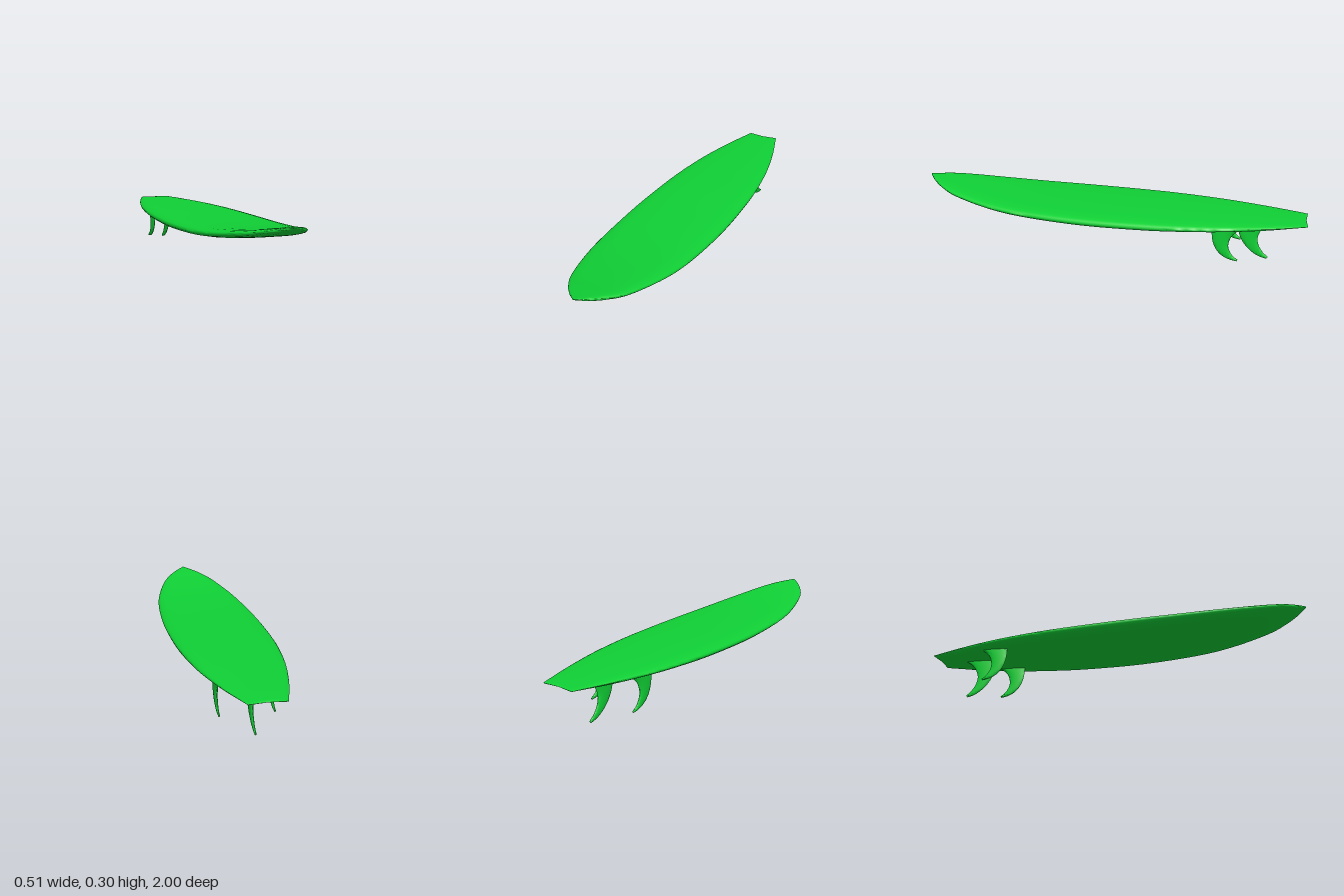
import * as THREE from 'three';
import { toCreasedNormals } from 'three/addons/utils/BufferGeometryUtils.js';

const material = new THREE.MeshStandardMaterial({ color: 0x10d035 });

// Skin a list of closed rings and cap both ends
function loft(rings) {
  const n = rings[0].length;
  const pos = rings.flat().flatMap((p) => [p.x, p.y, p.z]);
  const index = [];
  for (let i = 0; i < rings.length - 1; i++) {
    for (let j = 0; j < n; j++) {
      const a = i * n + j, b = i * n + ((j + 1) % n);
      index.push(a, b, b + n, a, b + n, a + n);
    }
  }
  [0, rings.length - 1].forEach((r) => {
    const mid = new THREE.Vector3();
    rings[r].forEach((p) => mid.addScaledVector(p, 1 / n));
    const c = pos.length / 3;
    pos.push(mid.x, mid.y, mid.z);
    for (let j = 0; j < n; j++) {
      const a = r * n + j, b = r * n + ((j + 1) % n);
      index.push(c, r ? a : b, r ? b : a);
    }
  });
  const geo = new THREE.BufferGeometry();
  geo.setAttribute('position', new THREE.Float32BufferAttribute(pos, 3));
  geo.setIndex(index);
  return toCreasedNormals(geo, 1.2);
}

const spline = (pts) =>
  new THREE.CatmullRomCurve3(pts.map((p) => new THREE.Vector3(...p)), false, 'catmullrom', 0.5);

// Board stations from tail to nose: z, half width, bottom height, deck height
const stations = [
  [-1, 0.085, 0.229, 0.238], [-0.95, 0.101, 0.224, 0.24], [-0.8, 0.148, 0.211, 0.241],
  [-0.6, 0.197, 0.199, 0.242], [-0.4, 0.229, 0.19, 0.242], [-0.2, 0.247, 0.183, 0.242],
  [0.1, 0.255, 0.18, 0.241], [0.4, 0.24, 0.189, 0.244], [0.6, 0.211, 0.206, 0.254],
  [0.8, 0.154, 0.236, 0.274], [0.9, 0.1, 0.261, 0.289], [0.96, 0.05, 0.281, 0.298],
  [1, 0.003, 0.3, 0.305],
];

// Half section: fraction of half width, fraction of thickness
const half = [
  [0.25, 0.005], [0.5, 0.02], [0.75, 0.11], [0.94, 0.26], [0.985, 0.42], [1, 0.58],
  [0.975, 0.7], [0.92, 0.81], [0.82, 0.9], [0.65, 0.96], [0.35, 0.99],
];
const section = [[0, 0], ...half, [0, 1], ...half.map(([x, y]) => [-x, y]).reverse()];

function boardGeometry() {
  const lower = spline(stations.map(([z, w, b]) => [w, b, z]));
  const upper = spline(stations.map(([z, w, , d]) => [w, d, z]));
  const rings = [];
  const steps = 72;
  for (let i = 0; i <= steps; i++) {
    const lo = lower.getPoint(i / steps), hi = upper.getPoint(i / steps);
    // Shallow notch across the tail, fading out forward
    const notch = 0.016 * Math.max(0, 1 - (lo.z + 1) / 0.2);
    rings.push(section.map(([u, v]) => new THREE.Vector3(
      u * lo.x, lo.y + v * (hi.y - lo.y), lo.z + notch * (1 - u * u))));
  }
  return loft(rings);
}

// Raked fin: leading and trailing edges given as [z, y] from root to tip
function finGeometry(lead, trail) {
  const edge = (pts) => spline(pts.map(([z, y]) => [0, y, z]));
  const front = edge(lead), back = edge(trail);
  const rings = [];
  const steps = 24, around = 20;
  for (let i = 0; i <= steps; i++) {
    const t = i / steps;
    const f = front.getPoint(t), b = back.getPoint(t);
    const thick = 0.0105 - 0.0065 * t;
    const ring = [];
    for (let j = 0; j < around; j++) {
      const a = (j / around) * Math.PI * 2;
      const p = f.clone().lerp(b, (1 - Math.cos(a)) / 2);
      p.x = -Math.sin(a) * thick;
      ring.push(p);
    }
    rings.push(ring);
  }
  return loft(rings);
}

export function createModel() {
  const model = new THREE.Group();
  model.name = 'surfboard';
  const add = (name, geo, x = 0) => {
    const mesh = new THREE.Mesh(geo, material);
    mesh.name = name;
    mesh.position.x = x;
    model.add(mesh);
  };

  add('board', boardGeometry());

  add('centreFin', finGeometry(
    [[-0.66, 0.218], [-0.667, 0.15], [-0.69, 0.09], [-0.73, 0.043], [-0.775, 0.014], [-0.818, 0.002]],
    [[-0.85, 0.223], [-0.795, 0.18], [-0.768, 0.125], [-0.772, 0.08], [-0.795, 0.04], [-0.824, 0.014]]));

  // Side fins, mirrored
  const side = finGeometry(
    [[-0.545, 0.216], [-0.549, 0.15], [-0.565, 0.1], [-0.595, 0.063], [-0.635, 0.042], [-0.675, 0.034]],
    [[-0.7, 0.217], [-0.65, 0.175], [-0.632, 0.13], [-0.635, 0.095], [-0.655, 0.062], [-0.681, 0.043]]);
  add('leftFin', side, 0.128);
  add('rightFin', side, -0.128);

  return model;
}
